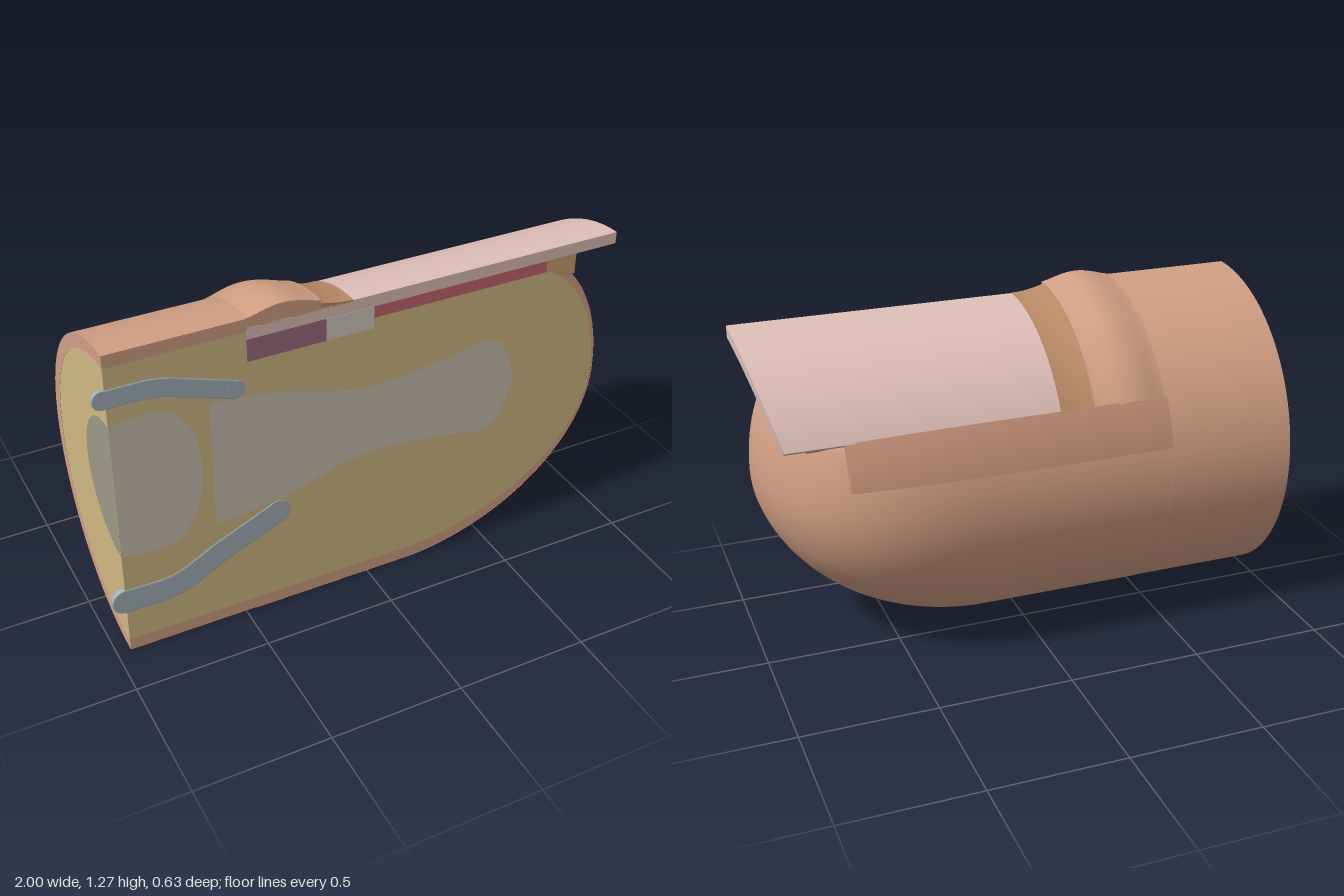
import * as THREE from 'three';

const AXIS = 0.62, CUT = 0.31, DEG = Math.PI / 180;
const SKIN = 0xd29f84, FAT = 0xd0b983, BONE = 0xcac3b2, TENDON = 0xa3b1b8;

function add(group, name, geometry, color) {
  const mesh = new THREE.Mesh(geometry,
    new THREE.MeshStandardMaterial({ color, side: THREE.DoubleSide }));
  mesh.name = name;
  group.add(mesh);
  return mesh;
}

// Curved slab around the finger axis; angle 0 is the top, growing towards the back.
// r1 and x1 may be functions of position along the slab / of the angle.
function slab(x0, x1, r0, r1, a0, a1) {
  const g = new THREE.BoxGeometry(1, 1, 1, 24, 1, 40), p = g.attributes.position;
  for (let i = 0; i < p.count; i++) {
    const s = p.getX(i) + 0.5, v = p.getY(i) + 0.5, w = 0.5 - p.getZ(i);
    const a = (a0 + (a1 - a0) * w) * DEG;
    const end = typeof x1 === 'function' ? x1(w) : x1;
    const outer = typeof r1 === 'function' ? r1(s) : r1;
    const r = r0 + (outer - r0) * v;
    p.setXYZ(i, x0 + (end - x0) * s, AXIS + r * Math.cos(a), CUT - r * Math.sin(a));
  }
  g.computeVertexNormals();
  return g;
}

// Fingertip outline: bottom and top height, and depth, at a position x
const along = (x, tip = 0.96) => Math.min(1, Math.max(0, (x - 0.17) / (tip - 0.17)));
const round = (t, p) => Math.sqrt(Math.max(0, 1 - t ** p));
const centre = t => 0.62 + 0.03 * t;
const bottomY = (t, inset = 0) => centre(t) - (centre(t) - inset) * round(t, 1.8);
const topY = (t, inset = 0) => centre(t) + (1.24 - inset - centre(t)) * round(t, 3.9);

function fingertip() {
  const g = new THREE.PlaneGeometry(1, 1, 60, 72), p = g.attributes.position;
  for (let i = 0; i < p.count; i++) {
    const u = p.getX(i) + 0.5, a = (0.5 - p.getY(i)) * Math.PI;
    const x = u < 0.3 ? -0.46 + 0.63 * u / 0.3 : 0.17 + 0.79 * Math.sin((u - 0.3) / 0.7 * Math.PI / 2);
    const t = along(x), c = Math.cos(a);
    let y = centre(t) + c * (c > 0 ? topY(t) - centre(t) : centre(t) - bottomY(t)) - AXIS;
    let d = 0.617 * round(t, 3) * Math.sin(a);
    // recess for the nail bed
    const r = Math.hypot(y, d);
    if (a < 61 * DEG && r > 0.49) { y *= 0.49 / r; d *= 0.49 / r; }
    p.setXYZ(i, x, AXIS + y, CUT - d);
  }
  g.computeVertexNormals();
  return g;
}

// Flat lengthwise section of the finger
function section(x0, tip, inset, maxTop, z, rearTop) {
  const low = [], high = [];
  for (let i = 0; i <= 48; i++) {
    const x = 0.17 + (tip - 0.17) * Math.sin(i / 48 * Math.PI / 2), t = along(x, tip);
    low.push(new THREE.Vector2(x, bottomY(t, inset)));
    high.unshift(new THREE.Vector2(x, Math.min(maxTop, topY(t, inset))));
  }
  const pts = [new THREE.Vector2(x0, inset), ...low, ...high];
  if (rearTop) pts.push(new THREE.Vector2(-0.46, maxTop), new THREE.Vector2(-0.46, rearTop));
  pts.push(new THREE.Vector2(x0, rearTop || maxTop));
  return new THREE.ShapeGeometry(new THREE.Shape(pts)).translate(0, 0, z);
}

// Bone: half of a turned solid, closed at the cut by its profile
function bone(group, name, profile) {
  const part = new THREE.Group();
  part.name = name;
  const first = profile[0], last = profile[profile.length - 1];
  const curve = new THREE.SplineCurve(profile.map(p => new THREE.Vector2(...p))).getPoints(40);
  const side = curve.map(p => new THREE.Vector2(Math.max(0, p.y), p.x));
  const lathe = new THREE.LatheGeometry(side, 32, Math.PI / 2, Math.PI).rotateZ(-Math.PI / 2);
  // keep the turned half behind the cut
  const p = lathe.attributes.position;
  for (let i = 0; i < p.count; i++) p.setZ(i, -Math.abs(p.getZ(i)));
  lathe.computeVertexNormals();
  add(part, name + 'Body', lathe, BONE);
  const face = new THREE.Shape([
    new THREE.Vector2(first[0], 0), ...curve, new THREE.Vector2(last[0], 0),
    ...curve.slice().reverse().map(q => new THREE.Vector2(q.x, -q.y))]);
  add(part, name + 'Section', new THREE.ShapeGeometry(face).translate(0, 0, 0.002), BONE);
  part.position.set(0, 0.7, CUT);
  group.add(part);
}

// Tendon: round-ended tube sliced flat at the cut
function tendon(group, name, points, radius) {
  const part = new THREE.Group();
  part.name = name;
  const curve = new THREE.CatmullRomCurve3(points.map(([x, y]) => new THREE.Vector3(x, y, CUT)));
  const pieces = [new THREE.TubeGeometry(curve, 40, radius, 24)];
  for (const [x, y] of [points[0], points[points.length - 1]])
    pieces.push(new THREE.SphereGeometry(radius, 24, 16).translate(x, y, CUT));
  for (const g of pieces) {
    const p = g.attributes.position;
    for (let i = 0; i < p.count; i++) p.setZ(i, Math.min(p.getZ(i), CUT + 0.003));
    g.computeVertexNormals();
    add(part, name + 'Piece', g, TENDON);
  }
  group.add(part);
}

export function createModel() {
  const model = new THREE.Group();
  model.name = 'fingertipSection';

  // Skin
  add(model, 'fingerShaftSkin', slab(-0.95, -0.46, 0.568, 0.618, 0, 180), SKIN);
  add(model, 'fingertipSkin', fingertip(), SKIN);
  add(model, 'skinSection', section(-0.46, 0.96, 0, 1.11, CUT - 0.001), SKIN);

  // Soft tissue on the long cut and the rear cut
  add(model, 'softTissueSection', section(-0.95, 0.95, 0.05, 1.115, CUT + 0.0006, 1.19), FAT);
  const rear = new THREE.CircleGeometry(0.57, 48, Math.PI / 2, Math.PI).rotateY(-Math.PI / 2);
  const rp = rear.attributes.position;
  for (let i = 0; i < rp.count; i++) rp.setZ(i, -Math.abs(rp.getZ(i)));
  add(model, 'softTissueRear', rear.translate(-0.949, AXIS, CUT), FAT);

  // Nail with a curved free edge
  add(model, 'nailPlate', slab(-0.46, w => 1 - 0.08 * w * w, 0.54, 0.585, 0, 60.5), 0xdfc0b8);

  // Layers under the nail, from root to free edge
  const layers = [
    ['nailRoot', -0.46, -0.17, 0.455, 0x9c6c80],
    ['nailCrescent', -0.17, 0.01, 0.455, 0xd0cbc4],
    ['nailBed', 0.01, 0.705, 0.495, 0xc4666e],
    ['nailBedEnd', 0.705, 0.83, 0.46, 0xcc9f6c],
  ];
  for (const [name, x0, x1, r0, color] of layers) {
    const mesh = add(model, name, slab(x0, x1, r0, 0.54, 0, 60), color);
    if (name !== 'nailBedEnd') mesh.position.z = 0.001;
  }

  // Skin folds around the nail
  const bump = s => 0.62 + 0.027 * Math.sin(Math.PI * s) ** 1.3 - 0.003 * s;
  add(model, 'rearNailFold', slab(-0.46, -0.19, 0.58, bump, 0, 60.5), SKIN);
  add(model, 'cuticle', slab(-0.19, -0.07, 0.58, s => 0.587 + 0.02 * (1 - s) ** 2, 0, 60.5), 0xb98a66);
  add(model, 'sideNailFold', slab(-0.46, 0.71, 0.546, s => 0.639 - 0.06 * s ** 4, 60, 77), 0xc49078);

  // Bones
  bone(model, 'middleBone', [[-0.95, 0.27], [-0.8, 0.282], [-0.72, 0.25], [-0.66, 0.15], [-0.637, 0]]);
  bone(model, 'endBone', [[-0.6, 0.255], [-0.35, 0.225], [-0.1, 0.155], [0.06, 0.142], [0.25, 0.16],
    [0.4, 0.185], [0.49, 0.195], [0.55, 0.14], [0.6, 0]]);
  const boneEnd = new THREE.CircleGeometry(0.27, 32, Math.PI / 2, Math.PI).rotateY(-Math.PI / 2);
  const bp = boneEnd.attributes.position;
  for (let i = 0; i < bp.count; i++) bp.setZ(i, -Math.abs(bp.getZ(i)));
  add(model, 'middleBoneRear', boneEnd.translate(-0.9505, 0.7, CUT), 0x9f9a86);

  // Tendons
  tendon(model, 'upperTendon', [[-0.96, 1.075], [-0.78, 1.07], [-0.65, 1.03], [-0.505, 0.98]], 0.036);
  tendon(model, 'lowerTendon', [[-0.95, 0.23], [-0.76, 0.235], [-0.58, 0.32], [-0.365, 0.415]], 0.05);

  return model;
}
